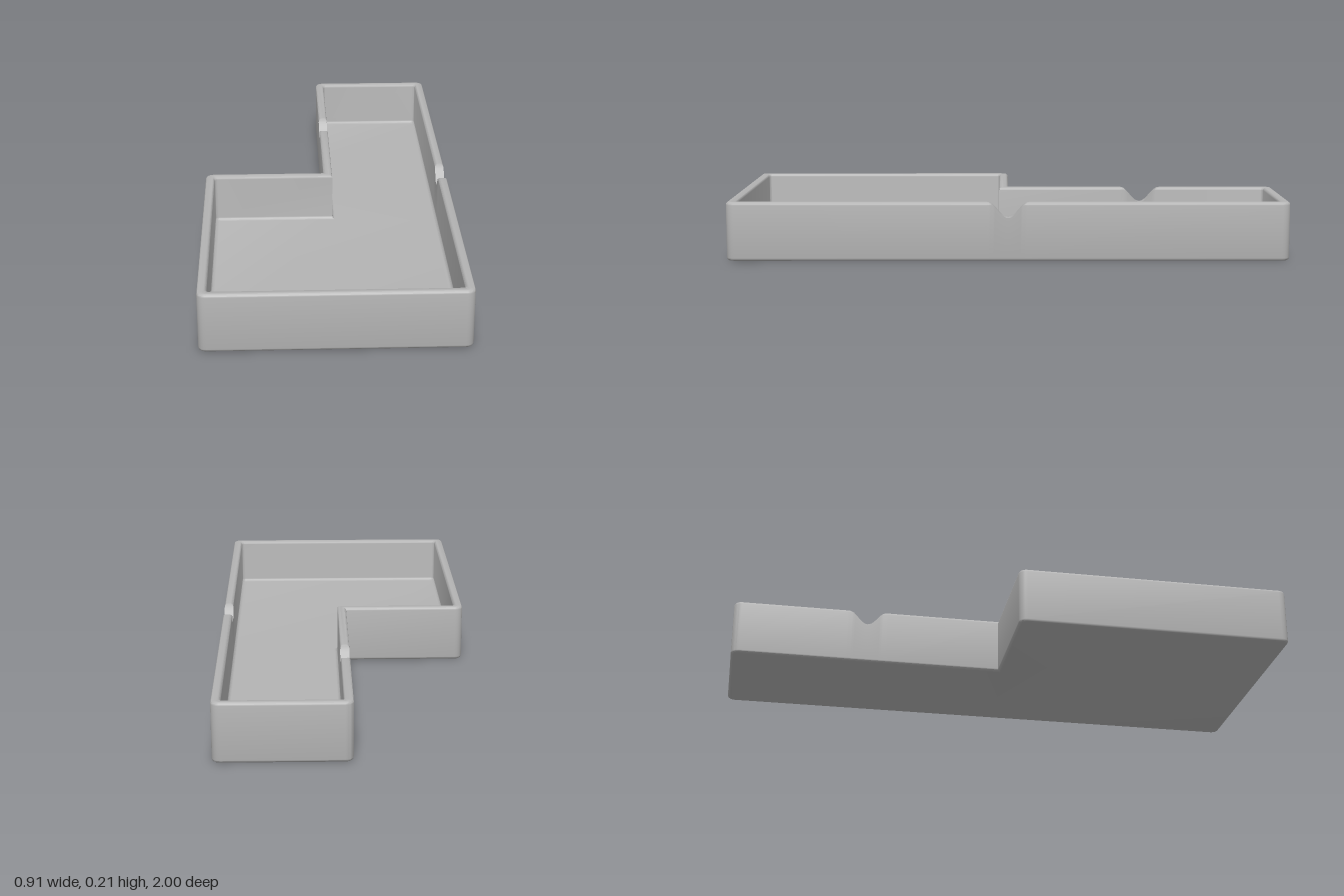
import * as THREE from 'three';
import { toCreasedNormals } from 'three/addons/utils/BufferGeometryUtils.js';

const HEIGHT = 0.21, WALL = 0.033, FLOOR = 0.033, ROUND = 0.011;

// L-shaped outline seen from above, counter-clockwise: x, z, inset direction x, z, convex corner?
const CORNERS = [
  [0.453, 1, -1, -1, true],
  [0.453, -1, -1, 1, true],
  [-0.01, -1, 1, 1, true],
  [-0.01, 0, 1, 1, false],
  [-0.453, 0, 1, 1, true],
  [-0.453, 1, 1, -1, true],
];
// Wall (by its first corner) and centre z of each finger notch
const NOTCHES = { 0: 0, 2: -0.5 };
const NOTCH_HALF = 0.075, NOTCH_DEPTH = 0.056, NOTCH_STEPS = 20;
const ARC_STEPS = 5;

// Outline inset by d, with rounded convex corners and samples across each notch
function outline(d) {
  const radius = Math.max(0.028 - d, 0.012);
  const points = [];
  CORNERS.forEach(([x, z, ix, iz, convex], i) => {
    if (convex) {
      const cx = x + ix * (d + radius), cz = z + iz * (d + radius);
      // the arc begins on the side of the incoming wall
      const alongX = ix * iz > 0;
      for (let k = 0; k <= ARC_STEPS; k++) {
        const t = (k / ARC_STEPS) * Math.PI / 2;
        const a = Math.cos(t) * radius, b = Math.sin(t) * radius;
        points.push(alongX ? [cx - ix * b, cz - iz * a] : [cx - ix * a, cz - iz * b]);
      }
    } else {
      points.push([x + ix * d, z + iz * d]);
    }
    if (i in NOTCHES) {
      const wallX = x + ix * d;
      const dir = Math.sign(CORNERS[i + 1][1] - z);
      for (let k = 0; k <= NOTCH_STEPS; k++) {
        points.push([wallX, NOTCHES[i] + dir * NOTCH_HALF * (2 * k / NOTCH_STEPS - 1)]);
      }
    }
  });
  return points;
}

// Rim height limit at a point of the walls
function rimHeight(x, z) {
  const u = (z - (x > 0.2 ? NOTCHES[0] : NOTCHES[2])) / NOTCH_HALF;
  if (Math.abs(u) >= 1) return HEIGHT;
  return HEIGHT - NOTCH_DEPTH * (1 + Math.cos(Math.PI * u)) / 2;
}

// Wall section [inset, y]: up the outside, over the rim, down the inside
function section() {
  const rows = [];
  const arc = (cd, cy, from, to) => {
    for (let k = 0; k <= 4; k++) {
      const t = THREE.MathUtils.degToRad(from + (to - from) * k / 4);
      rows.push([cd + ROUND * Math.cos(t), cy + ROUND * Math.sin(t)]);
    }
  };
  arc(ROUND, ROUND, 270, 180);
  arc(ROUND, HEIGHT - ROUND, 180, 90);
  arc(WALL - ROUND, HEIGHT - ROUND, 90, 0);
  arc(WALL + ROUND, FLOOR + ROUND, 180, 270);
  return rows;
}

function trayGeometry() {
  const rows = section();
  const rings = rows.map(([d]) => outline(d));
  const n = rings[0].length;
  const positions = [], index = [];
  rows.forEach(([, y], r) => {
    for (const [x, z] of rings[r]) positions.push(x, Math.min(y, rimHeight(x, z)), z);
  });
  for (let r = 0; r < rows.length - 1; r++) {
    for (let j = 0; j < n; j++) {
      const a = r * n + j, b = r * n + (j + 1) % n;
      index.push(a, b, b + n, a, b + n, a + n);
    }
  }
  // underside and inner floor
  const cap = (r, flip) => {
    const flat = rings[r].map(([x, z]) => new THREE.Vector2(x, -z));
    for (const [a, b, c] of THREE.ShapeUtils.triangulateShape(flat, [])) {
      const o = r * n;
      index.push(o + a, o + (flip ? c : b), o + (flip ? b : c));
    }
  };
  cap(0, true);
  cap(rows.length - 1, false);

  const geometry = new THREE.BufferGeometry();
  geometry.setAttribute('position', new THREE.Float32BufferAttribute(positions, 3));
  geometry.setIndex(index);
  return toCreasedNormals(geometry, THREE.MathUtils.degToRad(35));
}

export function createModel() {
  const model = new THREE.Group();
  model.name = 'cornerTray';
  const grey = new THREE.MeshStandardMaterial({ color: 0xb4b4b4 });
  grey.name = 'plain grey';
  const tray = new THREE.Mesh(trayGeometry(), grey);
  tray.name = 'tray';
  model.add(tray);
  return model;
}
